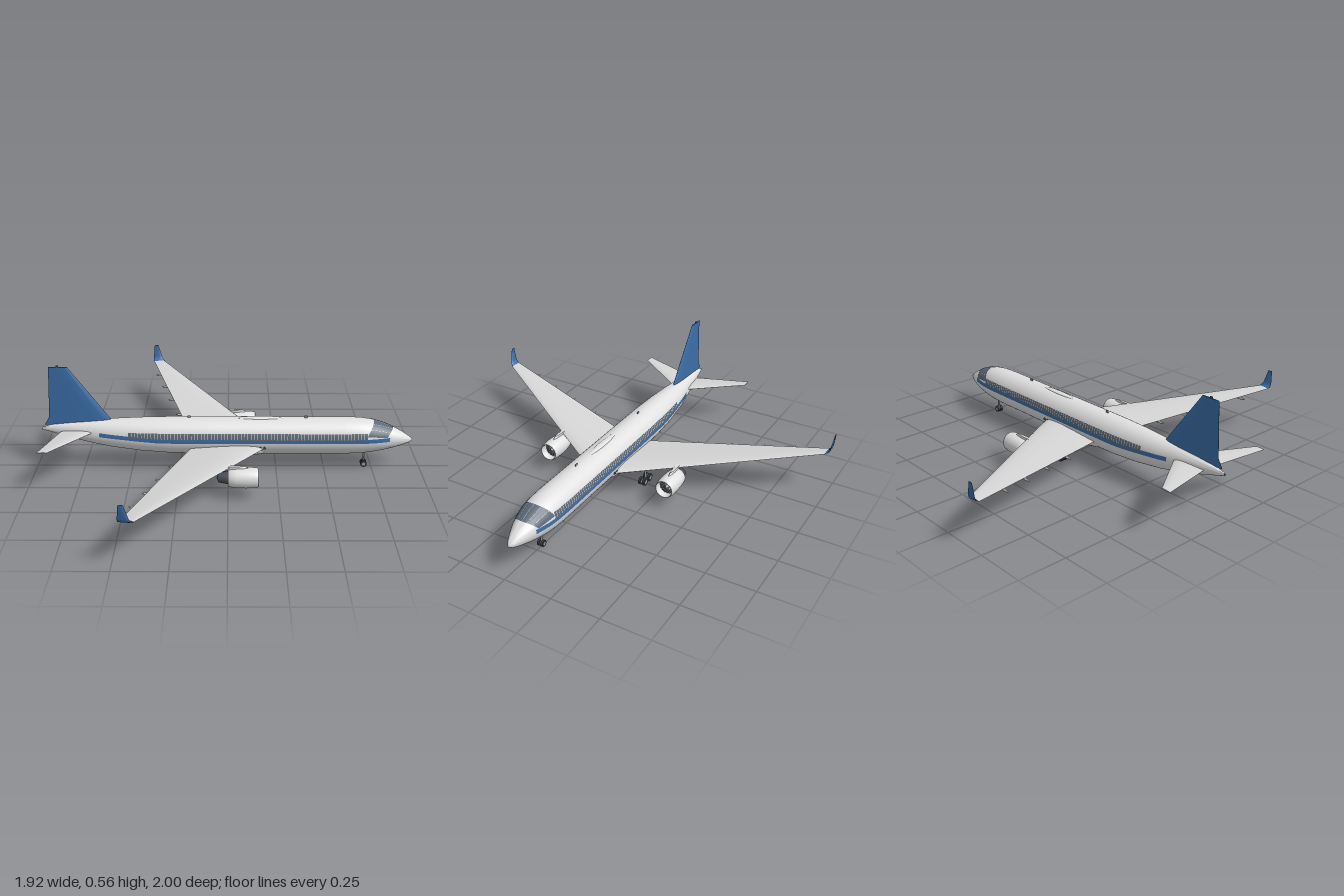
import * as THREE from 'three';
import { mergeGeometries, toCreasedNormals } from 'three/addons/utils/BufferGeometryUtils.js';

const mat = (name, color, side = THREE.FrontSide) => {
  const m = new THREE.MeshStandardMaterial({ color, side });
  m.name = name;
  return m;
};

// Fuselage stations: x, bottom y, top y, half width
const STATIONS = [
  [-0.96, 0.208, 0.222, 0.006], [-0.9, 0.19, 0.238, 0.016], [-0.8, 0.16, 0.251, 0.034],
  [-0.7, 0.135, 0.26, 0.05], [-0.6, 0.115, 0.266, 0.066], [-0.45, 0.095, 0.272, 0.081],
  [-0.3, 0.084, 0.275, 0.089], [-0.1, 0.08, 0.275, 0.091], [0.6, 0.08, 0.275, 0.091],
  [0.68, 0.083, 0.272, 0.089], [0.74, 0.09, 0.263, 0.084], [0.8, 0.1, 0.245, 0.072],
  [0.85, 0.112, 0.225, 0.058], [0.9, 0.125, 0.198, 0.038], [0.935, 0.137, 0.175, 0.02],
  [0.952, 0.148, 0.162, 0.008], [0.956, 0.153, 0.157, 0.002],
];

function hull(x) {
  let i = 0;
  while (i < STATIONS.length - 2 && STATIONS[i + 1][0] < x) i++;
  const a = STATIONS[i], b = STATIONS[i + 1], t = (x - a[0]) / (b[0] - a[0]);
  const [bot, top, rz] = [1, 2, 3].map(k => a[k] + (b[k] - a[k]) * t);
  return { cy: (bot + top) / 2, ry: (top - bot) / 2, rz };
}
const hullPoint = (x, a, off = 0) => {
  const h = hull(x);
  return [x, h.cy + (h.ry + off) * Math.sin(a), (h.rz + off) * Math.cos(a)];
};
const angleAt = (x, y) => {
  const h = hull(x);
  return Math.asin(THREE.MathUtils.clamp((y - h.cy) / h.ry, -1, 1));
};

// Closed skin through rings of equal length, capped at both ends and facing outward
function loft(rings, crease = 0.7) {
  const n = rings[0].length, pos = rings.flat(2), idx = [];
  for (let r = 0; r < rings.length - 1; r++)
    for (let i = 0; i < n; i++) {
      const a = r * n + i, b = r * n + (i + 1) % n;
      idx.push(a, b, a + n, b, b + n, a + n);
    }
  const last = (rings.length - 1) * n;
  for (let i = 1; i < n - 1; i++) idx.push(0, i + 1, i, last, last + i, last + i + 1);
  const P = i => new THREE.Vector3().fromArray(pos, i * 3);
  let volume = 0;
  for (let i = 0; i < idx.length; i += 3) volume += P(idx[i]).dot(P(idx[i + 1]).cross(P(idx[i + 2])));
  if (volume < 0) idx.reverse();
  const g = new THREE.BufferGeometry();
  g.setAttribute('position', new THREE.Float32BufferAttribute(pos, 3));
  g.setIndex(idx);
  return toCreasedNormals(g, crease);
}

// Aerofoil ring from leading to trailing edge, thickened along a direction
function foil(le, te, thick, dir) {
  const f = [0, 0.03, 0.12, 0.3, 0.55, 0.8, 1], h = [0, 0.4, 0.8, 1, 0.8, 0.42, 0.05];
  const at = (i, s) => le.map((v, k) => v + (te[k] - v) * f[i] + s * h[i] * thick / 2 * dir[k]);
  const ring = f.map((_, i) => at(i, 1));
  for (let i = 6; i > 0; i--) ring.push(at(i, -1));
  return ring;
}

// Open sheet over the fuselage skin; fn(u, v) gives a point
function patch(fn, nu, nv) {
  const pos = [], idx = [];
  for (let i = 0; i <= nu; i++) for (let j = 0; j <= nv; j++) pos.push(...fn(i / nu, j / nv));
  for (let i = 0; i < nu; i++)
    for (let j = 0; j < nv; j++) {
      const a = i * (nv + 1) + j, b = a + nv + 1;
      idx.push(a, b, a + 1, b, b + 1, a + 1);
    }
  const g = new THREE.BufferGeometry();
  g.setAttribute('position', new THREE.Float32BufferAttribute(pos, 3));
  g.setIndex(idx);
  g.computeVertexNormals();
  return g;
}

function rod(a, b, r) {
  const A = new THREE.Vector3(...a), B = new THREE.Vector3(...b), d = B.clone().sub(A);
  const g = new THREE.CylinderGeometry(r, r, d.length(), 10);
  g.applyQuaternion(new THREE.Quaternion().setFromUnitVectors(new THREE.Vector3(0, 1, 0), d.normalize()));
  const c = A.add(B).multiplyScalar(0.5);
  return g.translate(c.x, c.y, c.z);
}

export function createModel() {
  const root = new THREE.Group();
  const white = mat('white paint', 0xe0e0e0), wingGrey = mat('wing grey', 0xd6d6d6);
  const blue = mat('blue paint', 0x3b6ea8, THREE.DoubleSide);
  const glass = mat('window slate', 0x5c6875, THREE.DoubleSide);
  const metal = mat('metal grey', 0x9a9ea3), dark = mat('dark metal', 0x4a5058), tyre = mat('tyre', 0x3a3d42);
  const add = (name, geo, m, parent = root) => {
    const mesh = new THREE.Mesh(geo, m);
    mesh.name = name;
    parent.add(mesh);
    return mesh;
  };
  const lerp = THREE.MathUtils.lerp;
  const ball = (x, y, z, sx, sy, sz) => new THREE.SphereGeometry(1, 28, 16).scale(sx, sy, sz).translate(x, y, z);

  // Fuselage, belly fairing and roof fittings
  add('fuselage', loft(STATIONS.map(s => Array.from({ length: 40 }, (_, i) => hullPoint(s[0], i / 40 * Math.PI * 2)))), white);
  add('bellyFairing', ball(0, 0.12, 0, 0.27, 0.05, 0.094), white);
  add('roofDome', ball(0.165, 0.273, 0, 0.125, 0.008, 0.018), white);
  for (const x of [-0.2, 0.4]) add('antenna', new THREE.BoxGeometry(0.015, 0.012, 0.003).translate(x, 0.28, 0), metal);

  // Windscreen panels wrapped over the nose
  const panels = [], a0 = 0.27, span = (Math.PI - 2 * a0) / 6;
  for (let p = 0; p < 6; p++)
    panels.push(patch((u, v) => {
      const a = a0 + span * (p + 0.02 + 0.96 * v), s = Math.sin((a - a0) / (Math.PI - 2 * a0) * Math.PI);
      return hullPoint(lerp(lerp(0.71, 0.75, s), lerp(0.815, 0.85, s), u), a, 0.002);
    }, 8, 5));
  add('windscreen', mergeGeometries(panels), glass);

  for (const s of [1, -1]) {
    const flip = ([x, y, z]) => [x, y, z * s];

    // Cheat line and cabin windows
    add('sideStripe', patch((u, v) => {
      const x = lerp(-0.66, 0.83, u), mid = lerp(0.2, 0.179, Math.min(1, (x + 0.66) / 0.3));
      return flip(hullPoint(x, angleAt(x, mid + (v - 0.5) * 0.021), 0.0018));
    }, 60, 2), blue);
    const windows = [];
    for (let x = -0.51; x < 0.7; x += 0.017)
      windows.push(patch((u, v) => {
        const wx = x + u * 0.0145;
        return flip(hullPoint(wx, angleAt(wx, lerp(0.187, 0.219, v)), 0.003));
      }, 1, 3));
    add('cabinWindows', mergeGeometries(windows), glass);

    // Main wing with upturned blue tip
    const wingAt = t => ({ le: lerp(0.21, -0.39, t), te: lerp(-0.18, -0.457, t), y: lerp(0.132, 0.226, t), z: lerp(0.04, 0.97, t) });
    add('wing', loft([0, 0.25, 0.5, 0.75, 1].map(t => {
      const w = wingAt(t);
      return foil([w.le, w.y, w.z * s], [w.te, w.y, w.z * s], lerp(0.042, 0.009, Math.sqrt(t)), [0, 1, 0]);
    })), wingGrey);
    add('winglet', loft([
      [-0.39, -0.457, 0.226, 0.97, 0.009, 0], [-0.4, -0.46, 0.234, 0.983, 0.008, 0.7],
      [-0.41, -0.459, 0.252, 0.991, 0.007, 1.35], [-0.43, -0.453, 0.32, 0.998, 0.004, 1.45],
    ].map(([le, te, y, z, th, c]) => foil([le, y, z * s], [te, y, z * s], th, [0, Math.cos(c), -Math.sin(c) * s]))), blue);
    for (const z of [0.32, 0.49, 0.65, 0.8]) {
      const w = wingAt((z - 0.04) / 0.93);
      add('flapFairing', ball(w.te + 0.025, w.y - 0.008, z * s, 0.052, 0.008, 0.005), wingGrey);
    }

    // Tailplane
    add('tailplane', loft([[-0.67, -0.855, 0.205, 0.005, 0.018], [-0.88, -0.93, 0.226, 0.32, 0.006]]
      .map(([le, te, y, z, th]) => foil([le, y, z * s], [te, y, z * s], th, [0, 1, 0]))), wingGrey);

    // Engine: hollow nacelle, fan, spinner, exhaust and pylon
    const engine = new THREE.Group();
    engine.name = 'engine';
    engine.position.set(0, 0.108, 0.345 * s);
    root.add(engine);
    const turn = pts => new THREE.LatheGeometry(pts.map(p => new THREE.Vector2(...p)), 36).rotateZ(-Math.PI / 2);
    add('nacelle', turn([[0.03, 0], [0.045, 0], [0.05, 0.04], [0.052, 0.09], [0.05, 0.13], [0.047, 0.147], [0.045, 0.15], [0.043, 0.147], [0.042, 0.13], [0.042, 0.1]]), white, engine);
    add('fanDisc', new THREE.CylinderGeometry(0.043, 0.043, 0.004, 36).rotateZ(-Math.PI / 2).translate(0.105, 0, 0), dark, engine);
    const blades = [];
    for (let i = 0; i < 18; i++)
      blades.push(new THREE.BoxGeometry(0.004, 0.034, 0.003).rotateY(0.5).translate(0.11, 0.024, 0).rotateX(i / 18 * Math.PI * 2));
    add('fanBlades', mergeGeometries(blades), metal, engine);
    add('spinner', new THREE.ConeGeometry(0.012, 0.025, 20).rotateZ(-Math.PI / 2).translate(0.12, 0, 0), metal, engine);
    add('exhaust', turn([[0, -0.055], [0.012, -0.05], [0.024, -0.045], [0.032, 0.002]]), dark, engine);
    add('pylon', loft([[0.12, -0.06, 0.04], [0.08, -0.11, 0.062]]
      .map(([le, te, y]) => foil([le, y, 0], [te, y, 0], 0.016, [0, 0, 1]))), white, engine);

    // Main gear: four-wheel bogie on a braced leg
    const gear = new THREE.Group();
    gear.name = 'mainGear';
    root.add(gear);
    const gz = 0.155 * s;
    add('leg', rod([-0.01, 0.025, gz], [-0.01, 0.145, gz], 0.006), metal, gear);
    add('brace', rod([-0.01, 0.075, gz], [-0.01, 0.125, 0.08 * s], 0.004), metal, gear);
    add('bogieBeam', rod([-0.033, 0.022, gz], [0.015, 0.022, gz], 0.005), metal, gear);
    add('gearDoor', new THREE.BoxGeometry(0.03, 0.05, 0.003).translate(-0.01, 0.105, gz + 0.009 * s), white, gear);
    for (const x of [-0.033, 0.015]) wheels(x, gz, 0.021, 0.012, gear);

    // Small lamps ahead of the wing root
    for (const x of [0.165, 0.187])
      add('lamp', new THREE.CylinderGeometry(0.006, 0.006, 0.006, 14).rotateX(Math.PI / 2).translate(x, 0.142, 0.088 * s), dark);
  }

  // A pair of wheels on one axle
  function wheels(x, z, r, gap, parent) {
    add('axle', rod([x, r, z - gap], [x, r, z + gap], 0.004), metal, parent);
    for (const d of [-gap, gap]) {
      add('tyre', new THREE.CylinderGeometry(r, r, 0.011, 22).rotateX(Math.PI / 2).translate(x, r, z + d), tyre, parent);
      add('hub', new THREE.CylinderGeometry(r * 0.5, r * 0.5, 0.013, 16).rotateX(Math.PI / 2).translate(x, r, z + d), metal, parent);
    }
  }

  // Nose gear
  const nose = new THREE.Group();
  nose.name = 'noseGear';
  root.add(nose);
  add('leg', rod([0.71, 0.017, 0], [0.71, 0.1, 0], 0.005), metal, nose);
  wheels(0.71, 0, 0.017, 0.01, nose);

  // Fin and tail cone outlet
  add('fin', loft([[-0.58, -0.945, 0.235, 0.02], [-0.612, -0.92, 0.28, 0.024], [-0.81, -0.905, 0.55, 0.01]]
    .map(([le, te, y, th]) => foil([le, y, 0], [te, y, 0], th, [0, 0, 1]))), blue);
  add('finAntenna', new THREE.BoxGeometry(0.012, 0.01, 0.004).translate(-0.86, 0.553, 0), dark);
  add('tailOutlet', new THREE.CylinderGeometry(0.006, 0.006, 0.006, 14).rotateZ(Math.PI / 2).translate(-0.959, 0.215, 0), dark);

  return root;
}
